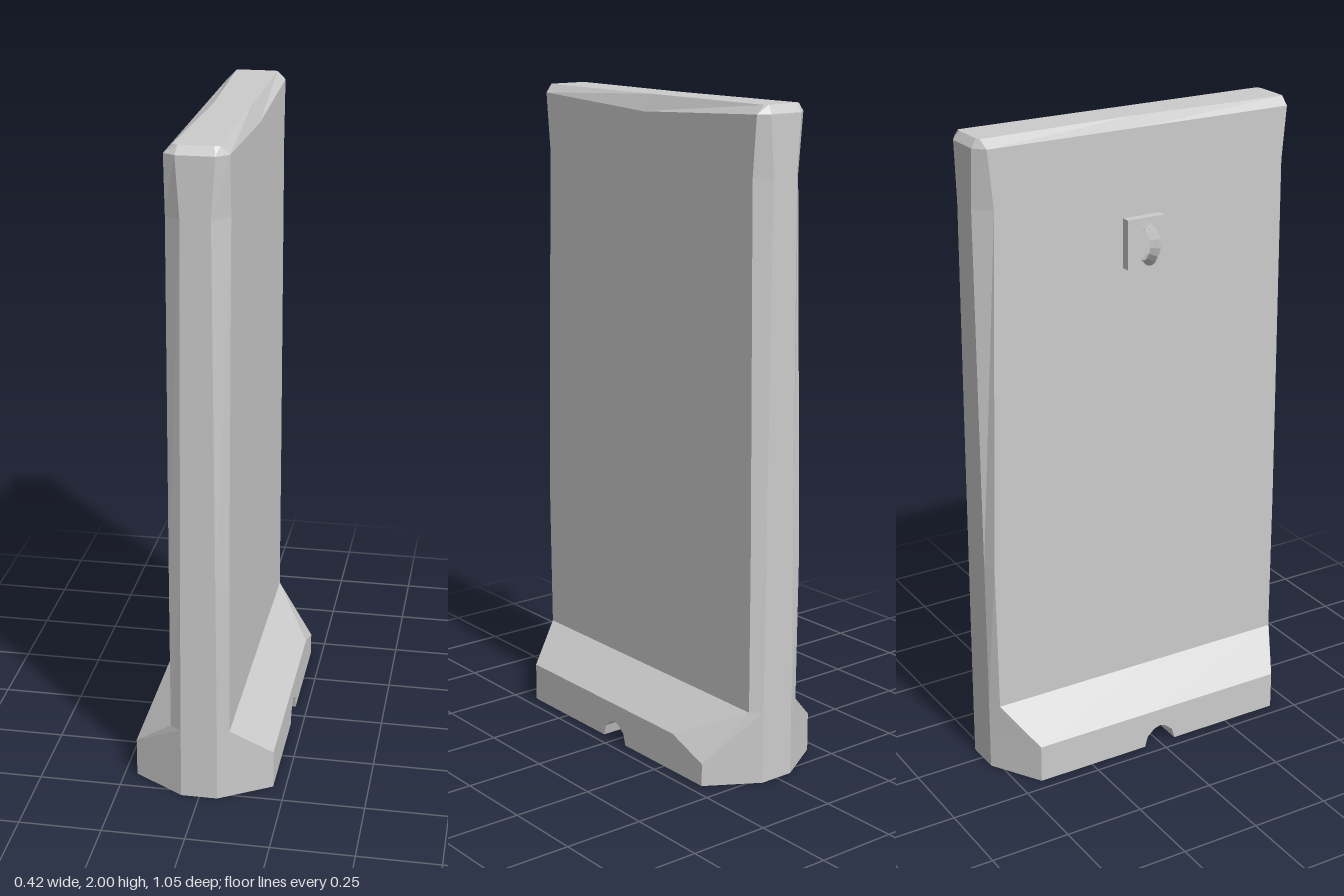
import * as THREE from 'three';

const grey = new THREE.MeshStandardMaterial({ color: 0xcccccc, flatShading: true });

// Skin a list of closed cross-sections, capped at both ends.
function loft(sections) {
  const pos = [];
  const tri = (...pts) => pts.forEach((p) => pos.push(...p));
  const n = sections[0].length;
  for (let s = 0; s + 1 < sections.length; s++) {
    const p = sections[s], q = sections[s + 1];
    for (let i = 0; i < n; i++) {
      const j = (i + 1) % n;
      tri(p[i], p[j], q[j]);
      tri(p[i], q[j], q[i]);
    }
  }
  const first = sections[0], last = sections[sections.length - 1];
  for (let i = 1; i + 1 < n; i++) {
    tri(first[0], first[i + 1], first[i]);
    tri(last[0], last[i], last[i + 1]);
  }
  const g = new THREE.BufferGeometry();
  g.setAttribute('position', new THREE.Float32BufferAttribute(pos, 3));
  g.computeVertexNormals();
  return g;
}

// Horizontal ring with chamfered corners and a mid point on each broad side;
// the second half is the first turned by 180 degrees.
function ring(y, a, z1, z2, b, zb = 0.525) {
  const half = [[b, y, zb], [a, y, z1], [a, y, 0], [a, y, -z2], [b, y, -zb]];
  return [...half, ...half.map(([x, h, z]) => [-x, h, -z])];
}

function addMesh(parent, name, geometry) {
  const mesh = new THREE.Mesh(geometry, grey);
  mesh.name = name;
  parent.add(mesh);
  return mesh;
}

export function createModel() {
  const model = new THREE.Group();
  model.name = 'concreteBarrier';

  // Upright slab with its sloping skirt, slightly worn edges and bevelled top
  const rings = [
    ring(0.12, 0.212, 0.43, 0.43, 0.055),
    ring(0.225, 0.09, 0.505, 0.5, 0.055),
    ring(0.7, 0.09, 0.51, 0.5, 0.052),
    ring(1.8, 0.09, 0.478, 0.49, 0.043),
    ring(1.975, 0.09, 0.495, 0.505, 0.055),
    ring(2, 0.065, 0.503, 0.505, 0.05, 0.508),
  ];
  rings[0][2] = [0.212, 0.12, -0.29]; // chipped foot corner
  rings[0][3] = [0.212, 0.07, -0.43];
  rings[4][2][1] = 1.95; // worn top edges
  rings[5][7][0] = -0.048;
  addMesh(model, 'slab', loft(rings));

  // Foot: sections along z as [z, half width, underside y, left top y],
  // with a drainage notch through the middle
  const foot = [
    [-0.525, 0.055, 0, 0.12], [-0.43, 0.212, 0, 0.07], [-0.29, 0.212, 0, 0.12],
    [-0.055, 0.212, 0, 0.12], [-0.045, 0.212, 0.035, 0.12], [-0.02, 0.212, 0.056, 0.12],
    [0.0, 0.212, 0.062, 0.12], [0.02, 0.212, 0.056, 0.12], [0.045, 0.212, 0.035, 0.12],
    [0.055, 0.212, 0, 0.12], [0.43, 0.212, 0, 0.12], [0.525, 0.055, 0, 0.12],
  ].map(([z, w, b, t]) => [[w, b, z], [w, t, z], [-w, 0.12, z], [-w, b, z]]);
  addMesh(model, 'foot', loft(foot));

  // Lifting eye on the right face
  const eye = new THREE.Group();
  eye.name = 'liftingEye';
  eye.position.set(-0.09, 1.64, 0);
  model.add(eye);
  addMesh(eye, 'eyePlate', new THREE.BoxGeometry(0.035, 0.15, 0.125)).position.x = -0.01;
  const loop = addMesh(eye, 'eyeLoop', new THREE.TorusGeometry(0.051, 0.018, 4, 8, Math.PI));
  loop.rotation.z = Math.PI / 2;
  loop.position.x = -0.026;

  return model;
}
